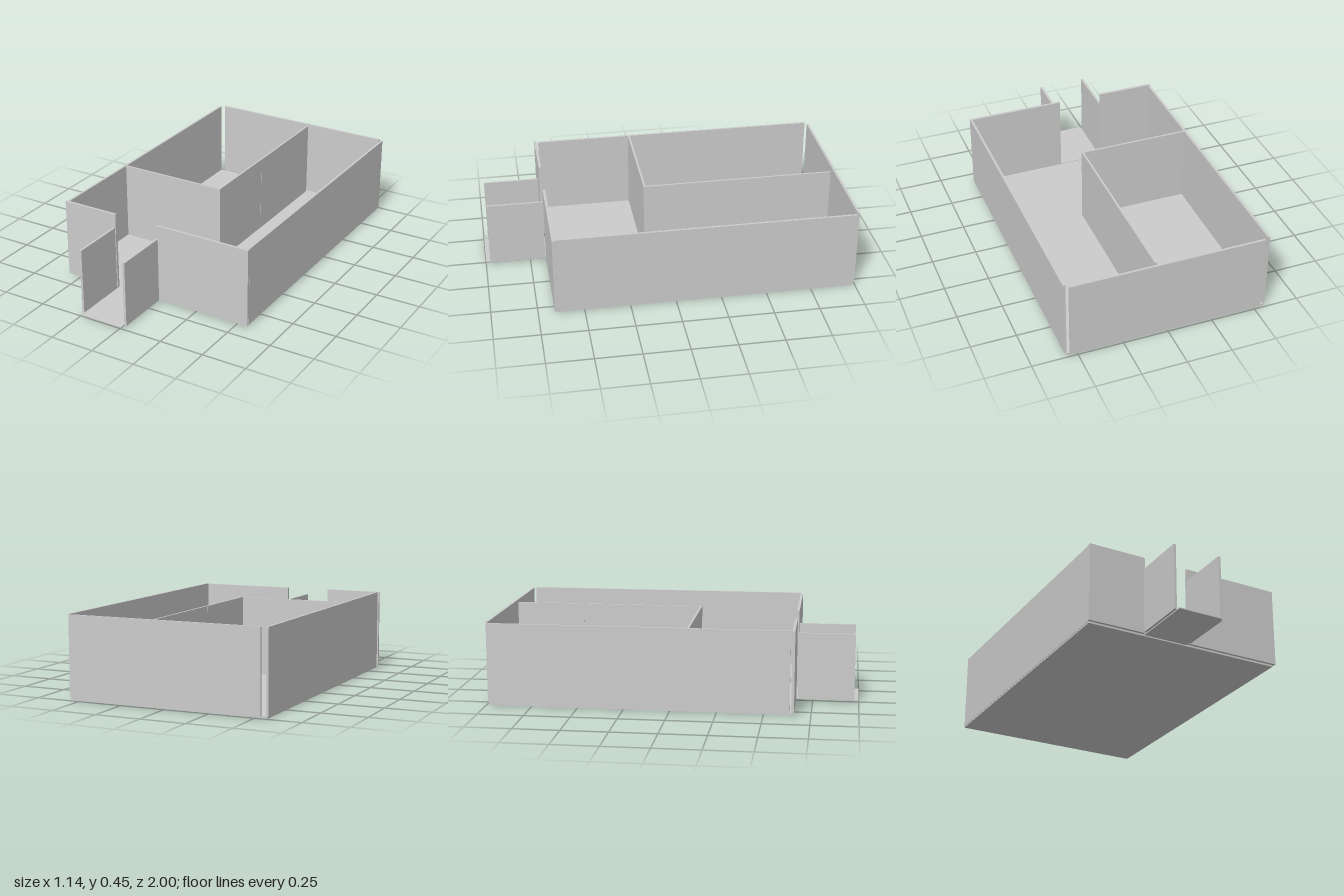
import * as THREE from 'three';

export function createModel() {
  const model = new THREE.Group();
  const material = new THREE.MeshStandardMaterial({ color: 0xcccccc });

  // Box given by its extents along each axis
  function slab(name, [x0, x1], [y0, y1], [z0, z1]) {
    const mesh = new THREE.Mesh(new THREE.BoxGeometry(x1 - x0, y1 - y0, z1 - z0), material);
    mesh.position.set((x0 + x1) / 2, (y0 + y1) / 2, (z0 + z1) / 2);
    mesh.name = name;
    model.add(mesh);
  }

  const wall = [0.01, 0.452];
  const porch = [0.01, 0.378];

  // Floors
  slab('mainFloor', [-0.565, 0.556], [0, 0.01], [-0.985, 0.645]);
  slab('porchFloor', [-0.243, 0.008], [0.004, 0.01], [0.65, 1]);

  // Outer walls, with narrow gaps at the corners
  slab('rightWall', [-0.567, -0.554], wall, [-0.98, 0.638]);
  slab('leftWall', [0.554, 0.567], [0.012, 0.455], [-0.978, 0.645]);
  slab('backWall', [-0.532, 0.542], [0.01, 0.454], [-1, -0.987]);

  // Front wall on both sides of the entrance
  slab('frontWallRight', [-0.572, -0.245], wall, [0.646, 0.661]);
  slab('frontWallLeft', [0.012, 0.567], wall, [0.646, 0.661]);

  // Inner walls; the long one is made of three panels
  slab('crossPartition', [-0.553, 0.073], wall, [0.092, 0.104]);
  const joints = [-0.968, -0.578, -0.372, 0.092];
  for (let i = 0; i < 3; i++) {
    const shift = i === 1 ? 0.001 : 0;
    slab('longPartition' + (i + 1), [0.062 + shift, 0.073 + shift], wall, [joints[i], joints[i + 1]]);
  }

  // Lower walls flanking the porch
  slab('porchWallRight', [-0.256, -0.243], porch, [0.67, 0.976]);
  slab('porchWallLeft', [0.012, 0.025], porch, [0.665, 0.976]);

  return model;
}
